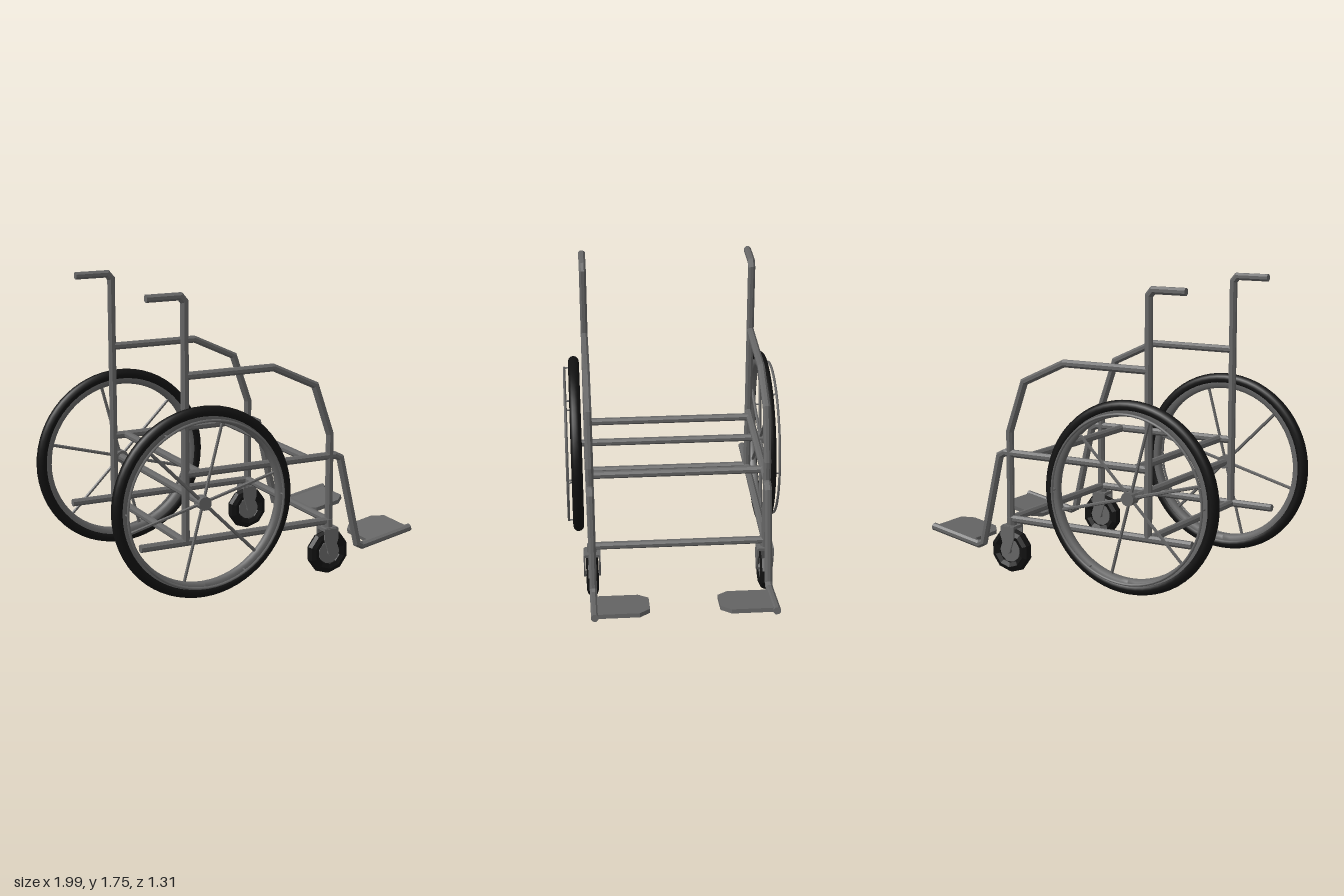
import * as THREE from 'three';

const frameGrey = new THREE.MeshStandardMaterial({ color: 0x666666 });
frameGrey.name = 'frameGrey';
const tyreBlack = new THREE.MeshStandardMaterial({ color: 0x111111 });
tyreBlack.name = 'tyreBlack';

const R = 0.023; // frame tube radius
const SIDE = 0.515; // distance of side frames from the middle

function flat(geometry) {
  const g = geometry.index ? geometry.toNonIndexed() : geometry;
  g.computeVertexNormals();
  return g;
}

function add(parent, name, geometry, material = frameGrey) {
  const mesh = new THREE.Mesh(geometry, material);
  mesh.name = name;
  parent.add(mesh);
  return mesh;
}

// Straight faceted rod between two points
function rod(a, b, r, sides = 8) {
  const from = new THREE.Vector3(...a), dir = new THREE.Vector3(...b).sub(from);
  const g = new THREE.CylinderGeometry(r, r, dir.length(), sides);
  g.rotateY(Math.PI / sides);
  g.applyQuaternion(new THREE.Quaternion().setFromUnitVectors(new THREE.Vector3(0, 1, 0), dir.clone().normalize()));
  const mid = from.addScaledVector(dir, 0.5);
  return flat(g.translate(mid.x, mid.y, mid.z));
}

// Octagonal tube along a bent path in the x-y plane, with mitred corners
function bentTube(points, r = R, sides = 8) {
  const pts = points.map(p => new THREE.Vector2(...p));
  const pos = [], idx = [], n = pts.length;
  pts.forEach((p, i) => {
    const before = pts[Math.max(i, 1)].clone().sub(pts[Math.max(i, 1) - 1]).normalize();
    const j = Math.min(i, n - 2);
    const after = pts[j + 1].clone().sub(pts[j]).normalize();
    const t = before.clone().add(after).normalize();
    const miter = 1 / t.dot(after);
    for (let k = 0; k < sides; k++) {
      const a = (k + 0.5) / sides * Math.PI * 2, c = Math.cos(a) * r * miter;
      pos.push(p.x - t.y * c, p.y + t.x * c, Math.sin(a) * r);
    }
  });
  for (let i = 0; i < n - 1; i++) {
    for (let k = 0; k < sides; k++) {
      const a = i * sides + k, b = i * sides + (k + 1) % sides;
      idx.push(a, b, a + sides, b, b + sides, a + sides);
    }
  }
  for (let k = 1; k < sides - 1; k++) {
    const e = (n - 1) * sides;
    idx.push(0, k + 1, k, e, e + k, e + k + 1);
  }
  const g = new THREE.BufferGeometry();
  g.setAttribute('position', new THREE.Float32BufferAttribute(pos, 3));
  g.setIndex(idx);
  return flat(g);
}

function sideFrame(s) {
  const g = new THREE.Group();
  g.name = 'sideFrame';
  g.position.z = s * SIDE;
  add(g, 'backPostAndHandle', bentTube([[-0.75, 1.72], [-0.545, 1.72], [-0.52, 1.69], [-0.52, 0.32]]));
  add(g, 'armrest', bentTube([[-0.52, 1.275], [0.035, 1.275], [0.31, 1.147], [0.415, 0.845], [0.415, 0.27]]));
  add(g, 'seatRailAndLegRest', bentTube([[-0.52, 0.715], [0.45, 0.715], [0.488, 0.695], [0.615, 0.15], [0.65, 0.132], [0.99, 0.198]]));
  add(g, 'lowerRail', bentTube([[-0.8, 0.32], [0.415, 0.32]]));

  // Footplate with clipped inner corners
  const outline = [[0.055, 0], [0.055, 0.255], [0.105, 0.315], [0.27, 0.315], [0.33, 0.255], [0.33, 0]];
  const shape = new THREE.Shape(outline.map(([x, v]) => new THREE.Vector2(x, -s * v)));
  const plate = new THREE.ExtrudeGeometry(shape, { depth: 0.025, bevelEnabled: false });
  plate.translate(0, 0, -0.0125).rotateX(Math.PI / 2);
  const footplate = add(g, 'footplate', plate);
  footplate.position.set(0.65, 0.132, 0);
  footplate.rotation.z = 0.192;
  return g;
}

// Large wheel: tyre, rim, spokes and hand rim
function rearWheel(s) {
  const g = new THREE.Group();
  g.name = 'rearWheel';
  g.position.set(-0.445, 0.56, s * 0.587);
  add(g, 'tyre', new THREE.TorusGeometry(0.521, 0.034, 12, 64), tyreBlack);
  const section = [[0.5, -0.026], [0.476, -0.026], [0.463, -0.012], [0.463, 0.012], [0.476, 0.026], [0.5, 0.026]];
  const rim = new THREE.LatheGeometry(section.map(p => new THREE.Vector2(...p)).reverse(), 64);
  rim.rotateX(Math.PI / 2);
  const rimMesh = add(g, 'rim', rim, rimGrey);
  rimMesh.geometry.computeVertexNormals();
  add(g, 'hub', rod([0, 0, -0.035], [0, 0, 0.03], 0.04, 12));
  add(g, 'handRim', new THREE.TorusGeometry(0.482, 0.008, 6, 64)).position.z = s * 0.06;
  for (let i = 0; i < 6; i++) {
    const a = THREE.MathUtils.degToRad((s > 0 ? 15 : 45) + i * 60);
    add(g, 'spoke', rod([0, 0, 0], [Math.cos(a) * 0.48, Math.sin(a) * 0.48, 0], 0.01, 6));
    const b = i * Math.PI / 3, x = Math.cos(b) * 0.482, y = Math.sin(b) * 0.482;
    add(g, 'handRimMount', rod([x, y, s * 0.015], [x, y, s * 0.06], 0.005, 6));
  }
  return g;
}
const rimGrey = frameGrey.clone();
rimGrey.name = 'rimGrey';
rimGrey.side = THREE.DoubleSide;

// Small front wheel in a tapered fork
function caster(s) {
  const g = new THREE.Group();
  g.name = 'caster';
  g.position.set(0.41, 0.13, s * SIDE);
  const tyre = new THREE.TorusGeometry(0.1, 0.036, 8, 10);
  tyre.rotateZ(Math.PI / 10);
  add(g, 'casterTyre', flat(tyre), tyreBlack);
  add(g, 'casterHub', rod([0, 0, -0.022], [0, 0, 0.022], 0.07, 10));
  add(g, 'casterAxle', rod([0, 0, -0.048], [0, 0, 0.048], 0.016));
  add(g, 'forkCrown', new THREE.BoxGeometry(0.092, 0.018, 0.084)).position.y = 0.145;
  add(g, 'forkStem', rod([0, 0.14, 0], [0, 0.2, 0], 0.03));
  const arm = new THREE.Shape([[-0.046, 0.15], [-0.046, 0.085], [-0.014, -0.012], [0.014, -0.012], [0.046, 0.085], [0.046, 0.15]]
    .map(p => new THREE.Vector2(...p)));
  for (const side of [-1, 1]) {
    const geo = new THREE.ExtrudeGeometry(arm, { depth: 0.01, bevelEnabled: false });
    add(g, 'forkArm', geo).position.z = side * 0.045 - 0.005;
  }
  return g;
}

export function createModel() {
  const model = new THREE.Group();
  model.name = 'wheelchair';
  for (const s of [1, -1]) model.add(sideFrame(s), rearWheel(s), caster(s));

  // Cross tubes joining the two sides
  const bars = [
    ['rearSeatBar', -0.435, 0.715, SIDE], ['frontSeatBar', 0.263, 0.715, SIDE],
    ['rearLowerBar', -0.525, 0.32, SIDE], ['frontLowerBar', 0.412, 0.32, SIDE],
    ['axle', -0.45, 0.56, 0.56],
  ];
  for (const [name, x, y, z] of bars) add(model, name, rod([x, y, -z], [x, y, z], R));
  return model;
}
